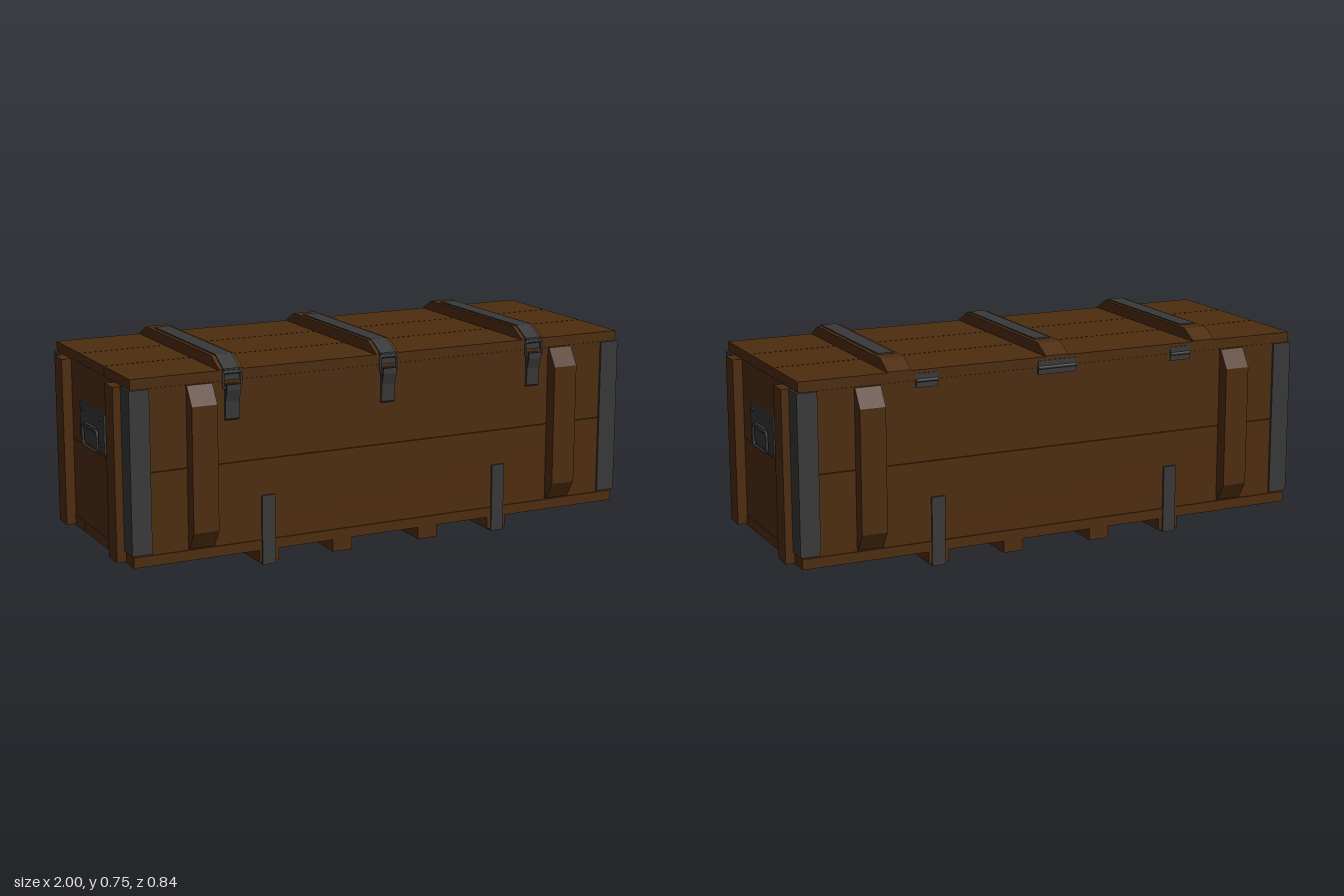
import * as THREE from 'three';

const wood = new THREE.MeshStandardMaterial({ color: 0x4d2c0e });
wood.name = 'brown wood';
const metal = new THREE.MeshStandardMaterial({ color: 0x383838 });
metal.name = 'dark metal';

export function createModel() {
  const root = new THREE.Group();
  root.name = 'woodenCrate';

  function add(name, geometry, material) {
    const mesh = new THREE.Mesh(geometry, material);
    mesh.name = name;
    root.add(mesh);
    return mesh;
  }

  // Box given by its limits on each axis
  function box(name, material, x0, x1, y0, y1, z0, z1) {
    const g = new THREE.BoxGeometry(Math.abs(x1 - x0), y1 - y0, Math.abs(z1 - z0));
    g.translate((x0 + x1) / 2, (y0 + y1) / 2, (z0 + z1) / 2);
    return add(name, g, material);
  }

  // Outline of [z, y] points extruded across x
  function slab(name, material, points, x, width) {
    const shape = new THREE.Shape(points.map(([z, y]) => new THREE.Vector2(z, y)));
    const g = new THREE.ExtrudeGeometry(shape, { depth: width, bevelEnabled: false });
    g.translate(0, 0, -width / 2).rotateY(-Math.PI / 2).translate(x, 0, 0);
    return add(name, g, material);
  }

  // Bent sheet following [z, y] points, with mitred corners
  function strap(name, points, x, width, thickness) {
    const p = points.map(([z, y]) => new THREE.Vector2(z, y));
    const normal = (a, b) => new THREE.Vector2(a.y - b.y, b.x - a.x).normalize();
    const near = [], far = [];
    p.forEach((v, i) => {
      const n1 = normal(p[Math.max(i - 1, 0)], p[Math.max(i, 1)]);
      const n2 = i < p.length - 1 ? normal(v, p[i + 1]) : n1;
      const m = n1.clone().add(n2).normalize();
      m.multiplyScalar(thickness / 2 / m.dot(n1));
      near.push([v.x + m.x, v.y + m.y]);
      far.unshift([v.x - m.x, v.y - m.y]);
    });
    return slab(name, metal, near.concat(far), x, width);
  }

  // Rounded rectangular wire loop in the xy plane
  function wireLoop(name, w, h, r, radius) {
    const path = new THREE.CurvePath();
    const x = w / 2, y = h / 2;
    const corners = [[x, y], [-x, y], [-x, -y], [x, -y]];
    const pts = [];
    corners.forEach(([cx, cy], i) => {
      for (let k = 0; k <= 4; k++) {
        const a = (i + k / 4) * Math.PI / 2;
        pts.push(new THREE.Vector3(
          cx - Math.sign(cx) * r + r * Math.cos(a), cy - Math.sign(cy) * r + r * Math.sin(a), 0));
      }
    });
    pts.forEach((v, i) => path.add(new THREE.LineCurve3(v, pts[(i + 1) % pts.length])));
    return add(name, new THREE.TubeGeometry(path, 96, radius, 8, true), metal);
  }

  // Lid and floor, three planks each
  const seams = [-0.37, -0.123, 0.123, 0.37];
  for (let i = 0; i < 3; i++) {
    const z0 = seams[i] + (i > 0 ? 0.0015 : 0), z1 = seams[i + 1] - (i < 2 ? 0.0015 : 0);
    box('lidPlank', wood, -0.966, 0.966, 0.671, 0.707, z0, z1);
    box('floorPlank', wood, -0.966, 0.966, 0.052, 0.089, z0, z1);
  }

  // Walls, two planks high
  for (const [y0, y1] of [[0.09, 0.379], [0.381, 0.67]]) {
    for (const s of [-1, 1]) {
      box('sideWallPlank', wood, -0.964, 0.964, y0, y1, s * 0.335, s * 0.368);
      box('endWallPlank', wood, s * 0.93, s * 0.964, y0, y1, -0.334, 0.334);
    }
  }

  for (const sx of [-1, 1]) {
    for (const sz of [-1, 1]) {
      // Upright end battens and chamfered side battens
      box('endBatten', wood, sx * 0.964, sx * 1.0, 0.056, 0.67, sz * 0.22, sz * 0.297);
      slab('sideBatten', wood, [[sz * 0.366, 0.095], [sz * 0.376, 0.095], [sz * 0.418, 0.16],
        [sz * 0.418, 0.602], [sz * 0.376, 0.668], [sz * 0.366, 0.668]], sx * 0.718, 0.094);

      // Metal corner angles
      box('cornerFace', metal, sx * 0.9, sx * 0.973, 0.096, 0.669, sz * 0.366, sz * 0.376);
      box('cornerEnd', metal, sx * 0.962, sx * 0.973, 0.096, 0.669, sz * 0.299, sz * 0.366);
    }

    // Carrying handle: plate, rivets, pivot and loop
    box('handlePlate', metal, sx * 0.962, sx * 0.971, 0.395, 0.536, -0.122, 0.122);
    for (const z of [-0.093, 0.093]) {
      for (const y of [0.421, 0.514]) {
        const rivet = add('handleRivet', new THREE.SphereGeometry(0.009, 12, 8), metal);
        rivet.scale.x = 0.5;
        rivet.position.set(sx * 0.971, y, z);
      }
    }
    const loop = wireLoop('handleLoop', 0.147, 0.076, 0.016, 0.005);
    loop.rotation.y = Math.PI / 2;
    loop.position.set(sx * 0.979, 0.43, 0);
    box('handlePivot', metal, sx * 0.968, sx * 0.982, 0.458, 0.474, -0.056, 0.056);
  }

  // Lid battens, straps and latches
  for (const x of [-0.6, 0, 0.6]) {
    slab('lidBatten', wood, [[-0.37, 0.705], [0.37, 0.705], [0.37, 0.71],
      [0.305, 0.747], [-0.305, 0.745], [-0.37, 0.71]], x, 0.088);
    strap('lidStrap', [[-0.25, 0.747], [0.306, 0.748], [0.373, 0.711], [0.373, 0.672]], x, 0.06, 0.006);
    strap('latchPlate', [[0.37, 0.535], [0.376, 0.54], [0.379, 0.6], [0.391, 0.64], [0.391, 0.66]],
      x, 0.052, 0.007);
    box('latchBase', metal, x - 0.024, x + 0.024, 0.545, 0.66, 0.367, 0.376);
    const ring = wireLoop('latchRing', 0.066, 0.056, 0.008, 0.0045);
    ring.position.set(x, 0.674, 0.382);
    const hook = add('latchHook', new THREE.CylinderGeometry(0.007, 0.007, 0.054, 10), metal);
    hook.rotation.z = Math.PI / 2;
    hook.position.set(x, 0.7, 0.377);
  }

  // Back hinges, the middle one wider
  for (const [x, w] of [[-0.5, 0.08], [0, 0.15], [0.5, 0.08]]) {
    box('hingeLeaf', metal, x - w / 2, x + w / 2, 0.645, 0.695, -0.373, -0.366);
    const pin = add('hingePin', new THREE.CylinderGeometry(0.006, 0.006, w, 10), metal);
    pin.rotation.z = Math.PI / 2;
    pin.position.set(x, 0.67, -0.373);
  }

  // Skids, with metal bands wrapped under the outer two
  for (const x of [-0.463, -0.175, 0.17, 0.46]) {
    box('skid', wood, x - 0.038, x + 0.038, 0.008, 0.052, -0.37, 0.37);
  }
  for (const x of [-0.465, 0.462]) {
    strap('skidBand', [[0.372, 0.25], [0.372, 0.004], [-0.372, 0.004], [-0.372, 0.25]], x, 0.05, 0.008);
  }

  return root;
}
